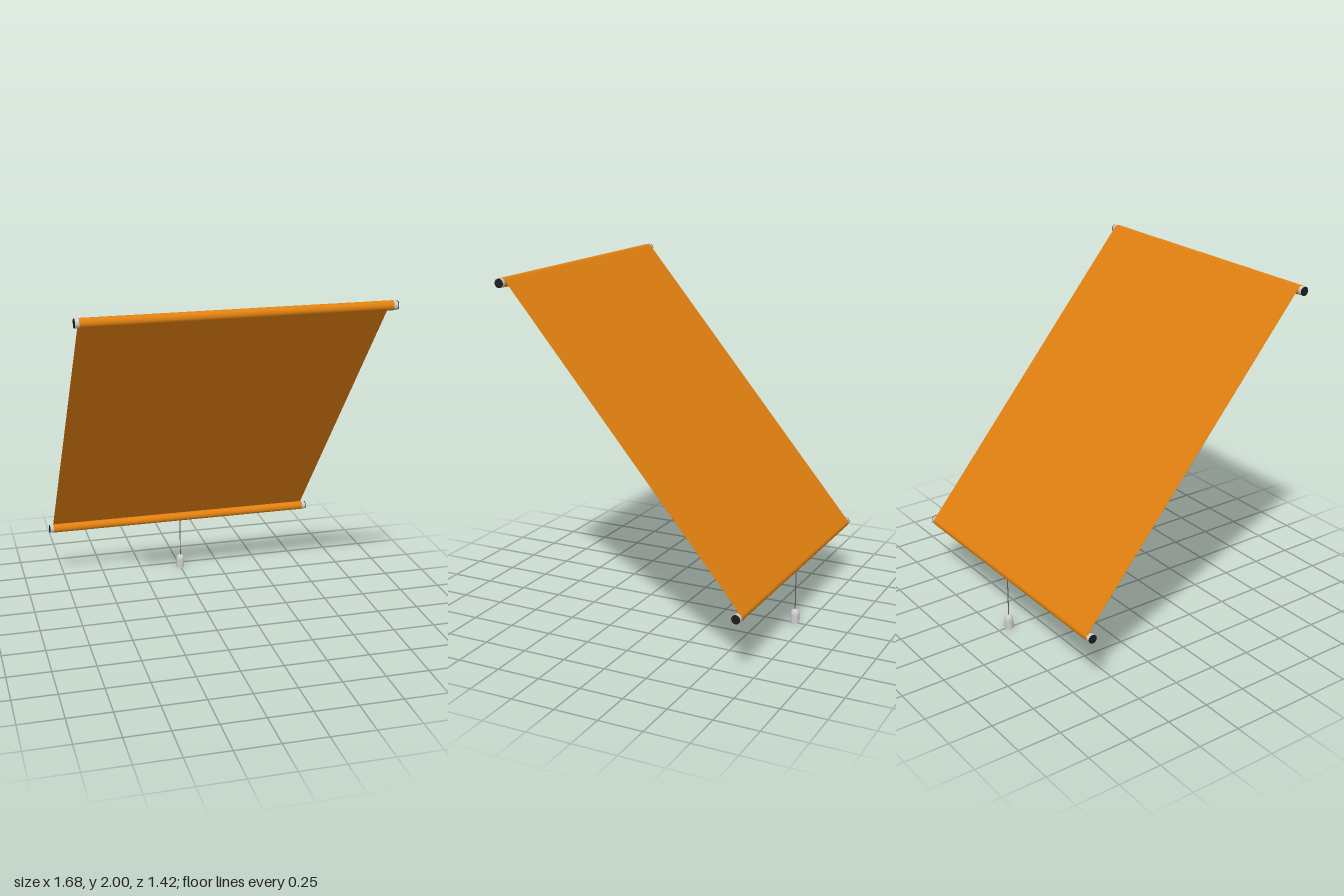
import * as THREE from 'three';

const material = (name, color) => {
  const m = new THREE.MeshStandardMaterial({ color });
  m.name = name;
  return m;
};

export function createModel() {
  const orange = material('orange fabric', 0xe08010);
  const grey = material('light grey', 0xcccccc);
  const black = material('black', 0x1c1c1c);
  const cordGrey = material('cord grey', 0x606060);

  const model = new THREE.Group();
  model.name = 'rollerBlind';
  const add = (parent, name, geometry, mat, x = 0, y = 0, z = 0) => {
    const mesh = new THREE.Mesh(geometry, mat);
    mesh.name = name;
    mesh.position.set(x, y, z);
    parent.add(mesh);
    return mesh;
  };

  const R = 0.026, halfWidth = 0.815, endX = 0.84;
  const top = new THREE.Vector2(0.683, 1.974); // (z, y) of the roller axes
  const bottom = new THREE.Vector2(-0.683, 0.35);

  // Cylinder lying along x
  const rod = (r, length) => new THREE.CylinderGeometry(r, r, length, 40).rotateZ(Math.PI / 2);

  // Fabric-covered rollers with metal pins and black end discs
  for (const [name, axis] of [['topRoller', top], ['bottomRoller', bottom]]) {
    const roller = new THREE.Group();
    roller.name = name;
    roller.position.set(0, axis.y, axis.x);
    add(roller, 'rollerTube', rod(R, halfWidth * 2), orange);
    for (const side of [-1, 1]) {
      const capLength = endX - 0.004 - halfWidth;
      add(roller, 'endCap', rod(0.0245, capLength), grey, side * (halfWidth + capLength / 2));
      add(roller, 'endDisc', rod(0.0245, 0.004), black, side * (endX - 0.002));
    }
    model.add(roller);
  }

  // Sloping sheet, tangent to the upper back of both rollers
  const along = top.clone().sub(bottom);
  const length = along.length();
  along.normalize();
  const thickness = 0.002;
  const mid = top.clone().add(bottom).multiplyScalar(0.5)
    .add(new THREE.Vector2(-along.y, along.x).multiplyScalar(R - thickness / 2));
  const sheet = add(model, 'fabricSheet',
    new THREE.BoxGeometry(halfWidth * 2 - 0.004, length, thickness), orange, 0, mid.y, mid.x);
  sheet.rotation.x = Math.atan2(along.x, along.y);

  // Pull cord and its rounded weight
  const cordTop = bottom.y - R + 0.004, cordBottom = 0.08;
  add(model, 'pullCord', new THREE.CylinderGeometry(0.003, 0.003, cordTop - cordBottom, 10),
    cordGrey, 0, (cordTop + cordBottom) / 2, bottom.x);

  const corner = (x, y) => new THREE.Vector2(x, y);
  const dome = [];
  for (let i = 0; i <= 8; i++) {
    const a = (i / 8) * Math.PI / 2;
    dome.push(corner(0.025 * Math.cos(a), 0.056 + 0.03 * Math.sin(a)));
  }
  // Separate base disc keeps the lower edge sharp
  add(model, 'pullWeight', new THREE.LatheGeometry([corner(0.025, 0), corner(0.025, 0.05), ...dome], 32),
    grey, 0, 0, bottom.x);
  add(model, 'pullWeightBase', new THREE.CircleGeometry(0.025, 32).rotateX(Math.PI / 2),
    grey, 0, 0, bottom.x);

  return model;
}
